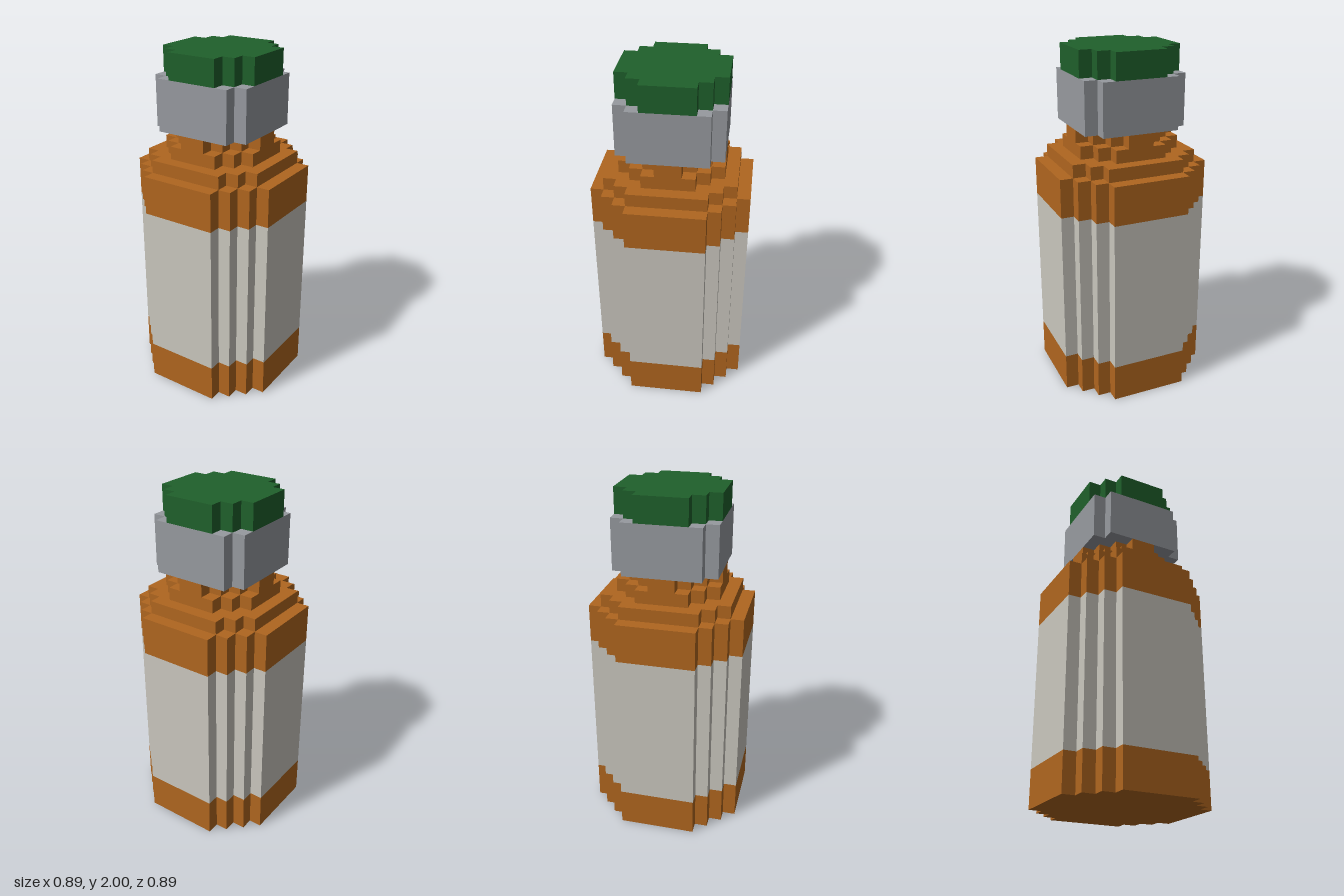
import * as THREE from 'three';

const U = 2 / 27; // one block unit

// Round-ish stepped outline: flat sides joined by one-unit staircase corners
function steppedShape(half, flat) {
  const corner = [];
  for (let x = half, y = flat; ; x--, y++) {
    corner.push([x, y]);
    if (x === flat) break;
    corner.push([x - 1, y]);
  }
  const points = [];
  for (let q = 0; q < 4; q++) {
    for (const [x, y] of corner) {
      const [px, py] = [[x, y], [-y, x], [-x, -y], [y, -x]][q];
      points.push(new THREE.Vector2(px * U, py * U));
    }
  }
  return new THREE.Shape(points);
}

export function createModel() {
  const material = (name, color) => {
    const m = new THREE.MeshStandardMaterial({ color });
    m.name = name;
    return m;
  };
  const amber = material('amber', 0xb0661f);
  const paper = material('paper', 0xcac7be);
  const steel = material('steel', 0x979a9f);
  const green = material('green', 0x1f602b);

  const bottle = new THREE.Group();
  bottle.name = 'bottle';

  // name, material, half width, half flat side, bottom and top in units
  const layers = [
    ['base', amber, 6, 3, 0, 3],
    ['label', paper, 6, 3, 3, 15],
    ['upperBody', amber, 6, 3, 15, 18],
    ['shoulder', amber, 5, 3, 18, 19],
    ['neckBase', amber, 4, 2, 19, 20],
    ['neck', amber, 4, 1, 20, 21],
    ['collar', steel, 4, 3, 21, 25],
    ['cap', green, 4, 2, 25, 27],
  ];
  for (const [name, mat, half, flat, y0, y1] of layers) {
    const geometry = new THREE.ExtrudeGeometry(steppedShape(half, flat), {
      depth: (y1 - y0) * U,
      bevelEnabled: false,
    });
    geometry.rotateX(-Math.PI / 2);
    const mesh = new THREE.Mesh(geometry, mat);
    mesh.name = name;
    mesh.position.y = y0 * U;
    bottle.add(mesh);
  }
  return bottle;
}
